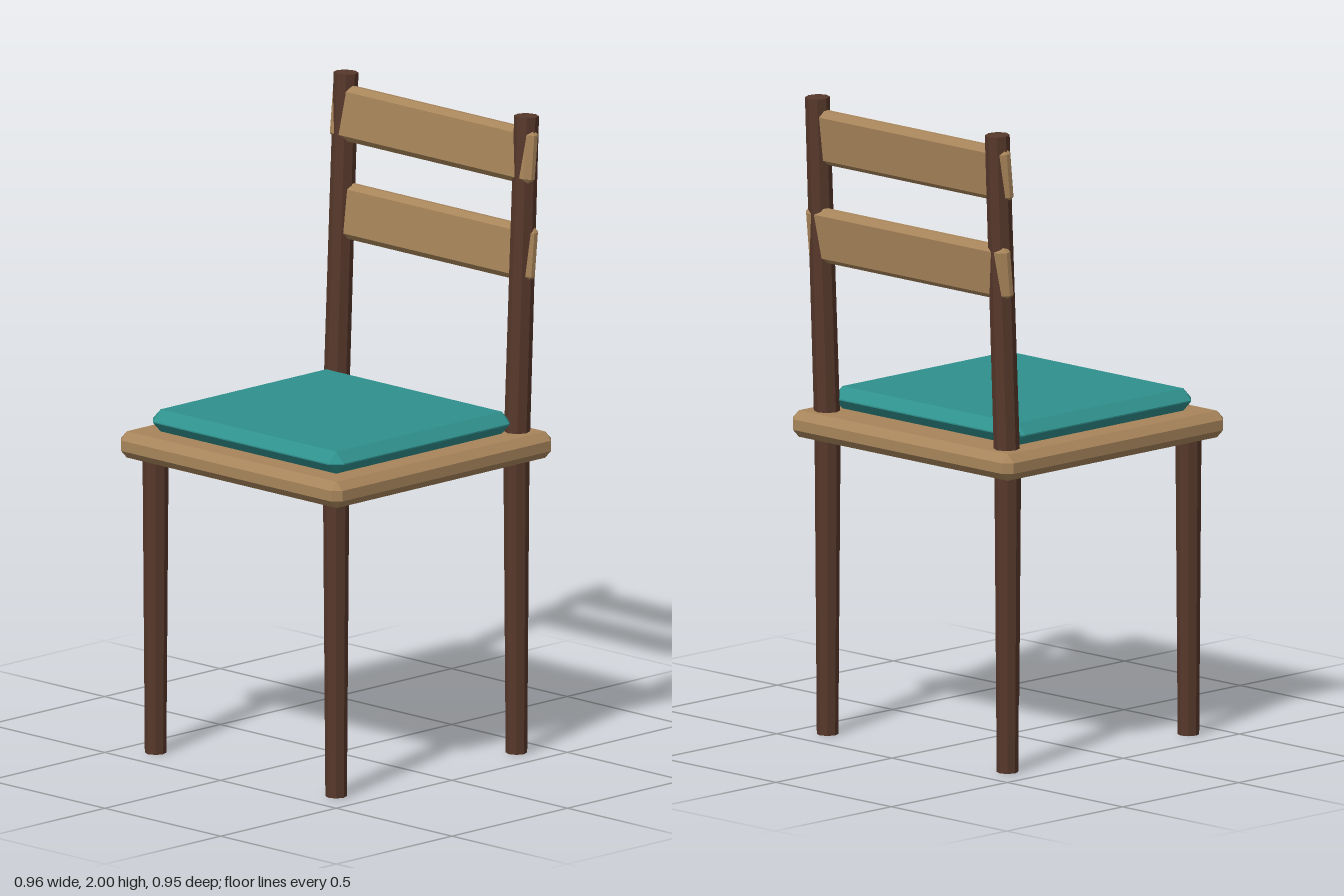
import * as THREE from 'three';
import { ConvexGeometry } from 'three/addons/geometries/ConvexGeometry.js';

const material = (name, color) => {
  const m = new THREE.MeshStandardMaterial({ color, flatShading: true });
  m.name = name;
  return m;
};

// Box with every edge and corner cut by a single flat bevel
function beveledBox(w, h, d, b) {
  const x = w / 2, y = h / 2, z = d / 2, points = [];
  for (const sx of [-1, 1]) for (const sy of [-1, 1]) for (const sz of [-1, 1]) {
    points.push(
      new THREE.Vector3(sx * x, sy * (y - b), sz * (z - b)),
      new THREE.Vector3(sx * (x - b), sy * y, sz * (z - b)),
      new THREE.Vector3(sx * (x - b), sy * (y - b), sz * z)
    );
  }
  return new ConvexGeometry(points);
}

// Eight-sided round bar between two points
function bar(from, to, rFrom, rTo) {
  const dir = to.clone().sub(from);
  const g = new THREE.CylinderGeometry(rTo, rFrom, dir.length(), 8);
  g.applyQuaternion(new THREE.Quaternion().setFromUnitVectors(new THREE.Vector3(0, 1, 0), dir.normalize()));
  const mid = from.clone().add(to).multiplyScalar(0.5);
  return g.translate(mid.x, mid.y, mid.z);
}

export function createModel() {
  const group = new THREE.Group();
  group.name = 'chair';
  const darkWood = material('dark wood', 0x57382b);
  const lightWood = material('light wood', 0xa8855b);
  const teal = material('teal fabric', 0x2f918d);

  const add = (name, geometry, mat, x = 0, y = 0, z = 0) => {
    const mesh = new THREE.Mesh(geometry, mat);
    mesh.name = name;
    mesh.position.set(x, y, z);
    group.add(mesh);
    return mesh;
  };
  const v = (x, y, z) => new THREE.Vector3(x, y, z);

  // Seat board and cushion
  add('seat', beveledBox(0.956, 0.083, 0.952, 0.025), lightWood, 0, 0.97, 0);
  add('cushion', beveledBox(0.824, 0.07, 0.782, 0.033), teal, 0, 1.046, 0.021);

  // Tapered legs and leaning back posts
  for (const s of [-1, 1]) {
    const side = s > 0 ? 'Left' : 'Right';
    add('front' + side + 'Leg', bar(v(s * 0.39, 0, 0.39), v(s * 0.39, 0.95, 0.39), 0.033, 0.04), darkWood);
    add('back' + side + 'Leg', bar(v(s * 0.39, 0, -0.39), v(s * 0.39, 0.95, -0.39), 0.033, 0.04), darkWood);
    add('back' + side + 'Post', bar(v(s * 0.39, 0.96, -0.391), v(s * 0.39, 1.998, -0.434), 0.04, 0.038), darkWood);
  }

  // Back rails, leaning slightly more than the posts
  const railGeometry = beveledBox(0.87, 0.172, 0.05, 0.0175);
  [['lowerBackRail', 1.568], ['upperBackRail', 1.875]].forEach(([name, y]) => {
    add(name, railGeometry, lightWood, 0, y, -0.4235).rotation.x = -0.1;
  });

  return group;
}
